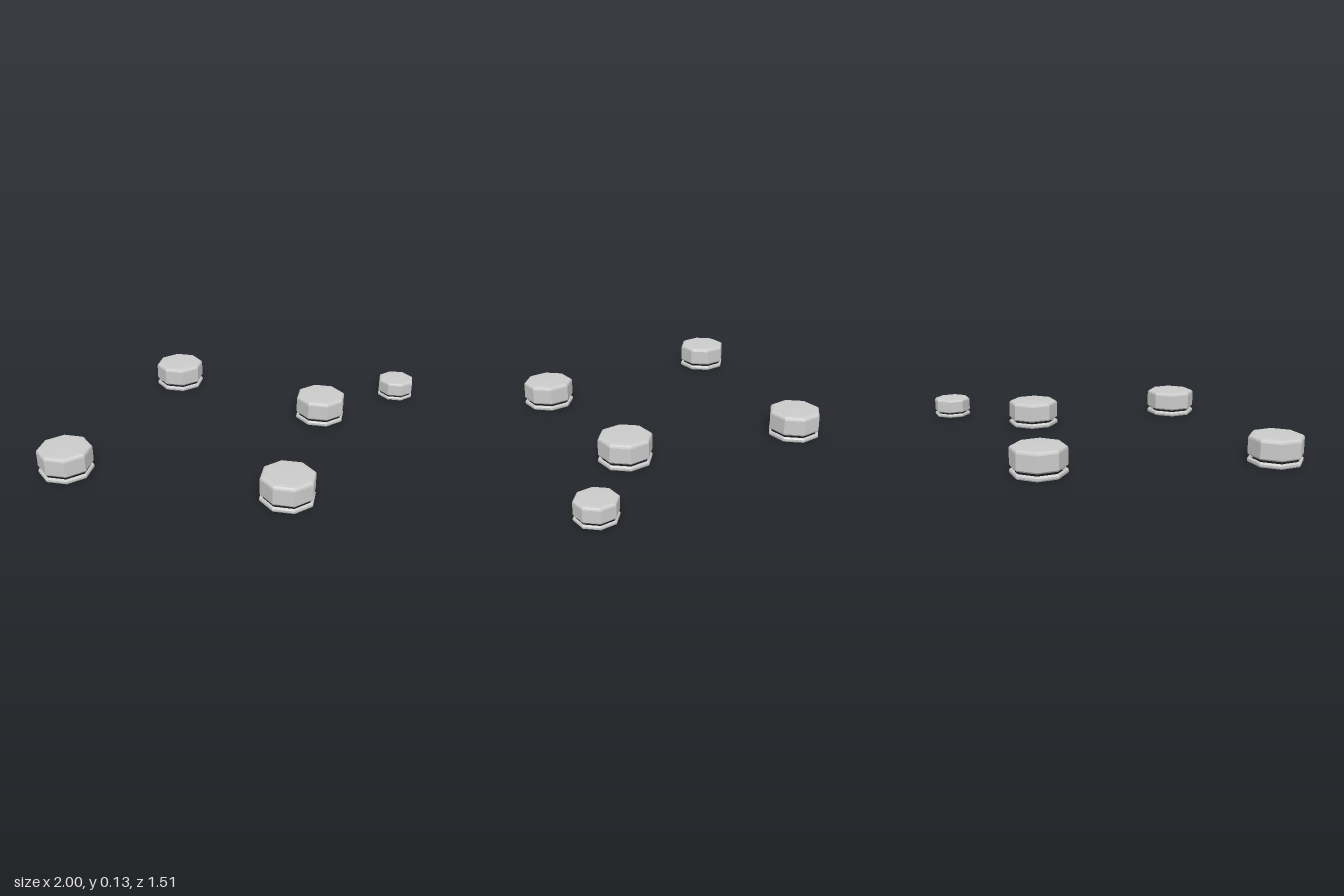
import * as THREE from 'three';

const SIDES = 8;

// Eight-sided turned part from [radius, height] points
function turned(name, profile, material) {
  const points = profile.map(([r, y]) => new THREE.Vector2(r, y));
  const mesh = new THREE.Mesh(new THREE.LatheGeometry(points, SIDES), material);
  mesh.name = name;
  return mesh;
}

export function createModel() {
  const material = new THREE.MeshStandardMaterial({ color: 0xcccccc, flatShading: true });

  // Hollow cap: underside, inner wall, lip, outer wall, rounded shoulder, top
  const capProfile = [
    [0, 0.118], [0.107, 0.116], [0.114, 0.108], [0.114, 0.036],
    [0.121, 0.035], [0.126, 0.042], [0.126, 0.113],
    [0.123, 0.121], [0.115, 0.126], [0.1, 0.128], [0, 0.13],
  ];
  // Separate bevelled ring below the cap
  const ringProfile = [
    [0.114, 0.022], [0.114, 0.003], [0.118, 0], [0.123, 0.002],
    [0.127, 0.008], [0.127, 0.017], [0.123, 0.023], [0.118, 0.025], [0.114, 0.022],
  ];

  // x, z, scale of each scattered cap
  const placements = [
    [-0.874, 0.21, 1],
    [-0.243, -0.633, 1],
    [0.07, 0.628, 1],
    [0.42, -0.085, 1],
    [0.9, -0.262, 0.755],
  ];

  const model = new THREE.Group();
  model.name = 'bottleCaps';
  placements.forEach(([x, z, scale], i) => {
    const cap = new THREE.Group();
    cap.name = `bottleCap${i + 1}`;
    cap.add(turned('capShell', capProfile, material), turned('sealRing', ringProfile, material));
    cap.position.set(x, 0, z);
    cap.scale.setScalar(scale);
    model.add(cap);
  });
  return model;
}
